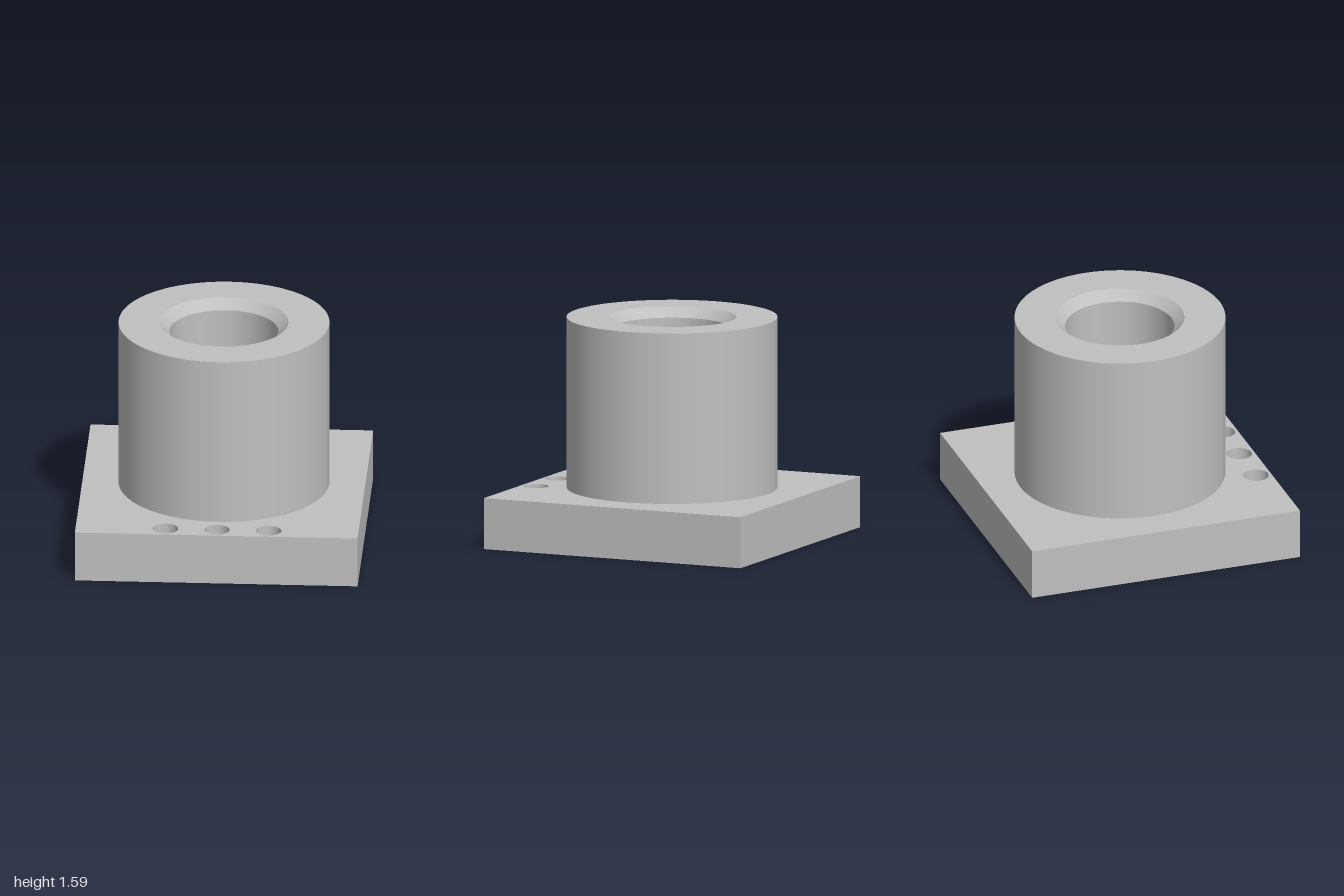
import * as THREE from 'three';
import { mergeGeometries } from 'three/addons/utils/BufferGeometryUtils.js';

const BASE_H = 0.365, TOP = 1.585;
const HUB_R = 0.745, BORE_R = 0.385, THROUGH_R = 0.31;
const WELL_R = 0.09, WELL_FLOOR = 0.18, WELL_Z = 0.89;
const WELL_XS = [-0.365, 0, 0.365];

// Revolve each profile segment separately so that its edges stay sharp
function sharpLathe(points, sides) {
  const bands = [];
  for (let i = 0; i + 1 < points.length; i++) {
    const pair = [points[i], points[i + 1]].map(([r, y]) => new THREE.Vector2(r, y));
    bands.push(new THREE.LatheGeometry(pair, sides));
  }
  return mergeGeometries(bands);
}

// Square plate face with round openings given as [x, y, radius]
function plateFace(holes) {
  const shape = new THREE.Shape();
  shape.moveTo(-1, -1).lineTo(1, -1).lineTo(1, 1).lineTo(-1, 1).closePath();
  for (const [x, y, r] of holes) {
    shape.holes.push(new THREE.Path().absarc(x, y, r, 0, Math.PI * 2, true));
  }
  return new THREE.ShapeGeometry(shape, 32);
}

export function createModel() {
  const group = new THREE.Group();
  const metal = new THREE.MeshStandardMaterial({ color: 0xc0c0c0 });
  metal.name = 'grey metal';

  const add = (name, geometry) => {
    const mesh = new THREE.Mesh(geometry, metal);
    mesh.name = name;
    group.add(mesh);
    return mesh;
  };

  // Square base: pierced top and bottom faces, four plain sides
  const wells = WELL_XS.map((x) => [x, -WELL_Z, WELL_R]);
  const faces = [
    plateFace([[0, 0, HUB_R], ...wells]).rotateX(-Math.PI / 2).translate(0, BASE_H, 0),
    plateFace([[0, 0, THROUGH_R]]).rotateX(Math.PI / 2),
  ];
  for (let i = 0; i < 4; i++) {
    faces.push(new THREE.PlaneGeometry(2, BASE_H).translate(0, BASE_H / 2, 1).rotateY(i * Math.PI / 2));
  }
  add('basePlate', mergeGeometries(faces));

  // Hub with chamfered mouth, stepped bore and through hole
  add('hub', sharpLathe([
    [HUB_R, BASE_H], [HUB_R, TOP], [0.455, TOP], [BORE_R, TOP - 0.07],
    [BORE_R, BASE_H], [THROUGH_R, BASE_H], [THROUGH_R, 0],
  ], 96));

  // Blind holes along the front edge
  for (const x of WELL_XS) {
    add('blindHole', sharpLathe([[WELL_R, BASE_H], [WELL_R, WELL_FLOOR], [0, WELL_FLOOR]], 48))
      .position.set(x, 0, WELL_Z);
  }
  return group;
}
